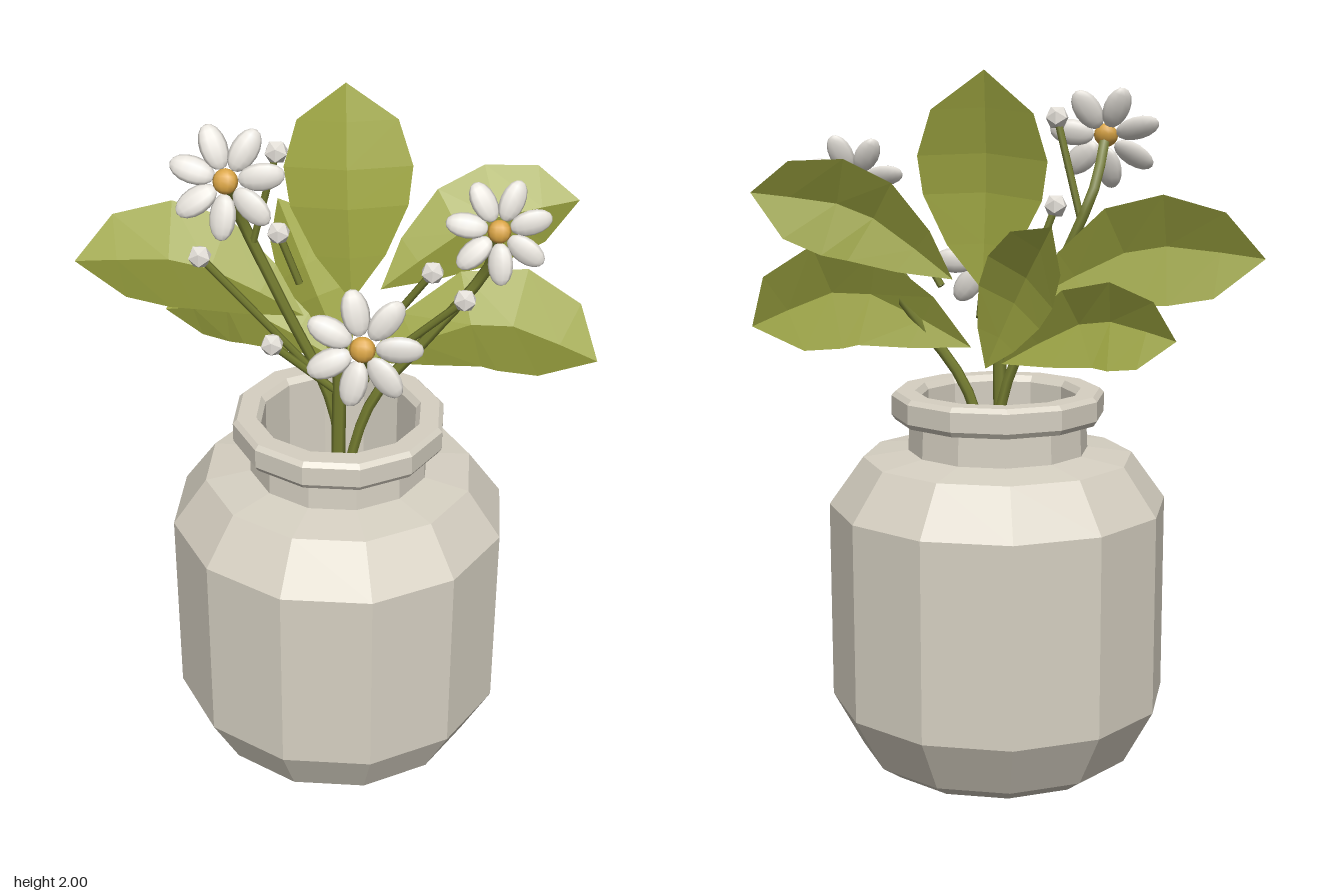
import * as THREE from 'three';

const V = (a) => new THREE.Vector3(...a);
const mat = (name, color, extra = {}) =>
  Object.assign(new THREE.MeshStandardMaterial({ color, ...extra }), { name });

export function createModel() {
  const model = new THREE.Group();
  const stone = mat('stone', 0xd6d0c2, { flatShading: true });
  const water = mat('water', 0xaad2c6);
  const leafGreen = mat('leaf green', 0xa0a842, { flatShading: true, side: THREE.DoubleSide });
  const stemGreen = mat('stem green', 0x757d30);
  const white = mat('petal white', 0xe2ded7);
  const yellow = mat('pollen yellow', 0xd9a444);

  const add = (parent, name, geo, material) => {
    const m = new THREE.Mesh(geo, material);
    m.name = name;
    parent.add(m);
    return m;
  };

  // Twelve-sided jar: outer wall, rim, then the inside of the neck (flat radius, height)
  const k = 1 / Math.cos(Math.PI / 12);
  const profile = [
    [0, 0], [0.33, 0], [0.386, 0.04], [0.47, 0.2], [0.47, 0.775], [0.375, 0.912],
    [0.25, 0.93], [0.246, 1.02], [0.285, 1.02], [0.295, 1.035], [0.295, 1.09], [0.283, 1.103],
    [0.23, 1.103], [0.217, 1.085], [0.217, 0.75],
  ].map(([r, y]) => new THREE.Vector2(r * k, y));
  const jar = add(model, 'jar', new THREE.LatheGeometry(profile, 12, Math.PI / 12), stone);
  jar.position.set(0.013, 0, -0.004);

  // Water surface inside the neck
  const pool = add(model, 'water', new THREE.CircleGeometry(0.217 * k, 12, Math.PI / 12), water);
  pool.rotation.x = -Math.PI / 2;
  pool.position.set(0.013, 0.8, -0.004);

  // Stems and bud branches
  const stem = (name, pts, r) => {
    const curve = new THREE.CatmullRomCurve3(pts.map(V));
    add(model, name, new THREE.TubeGeometry(curve, pts.length * 3, r, 6), stemGreen);
    // End caps
    [0, 1].forEach((t) => {
      const cap = add(model, name + 'End', new THREE.CircleGeometry(r, 6), stemGreen);
      cap.position.copy(curve.getPoint(t));
      cap.lookAt(curve.getPoint(t).addScaledVector(curve.getTangent(t), t ? 1 : -1));
    });
  };
  stem('leftStem', [[0.03, 0.76, -0.03], [-0.01, 1.1, -0.035], [-0.15, 1.42, -0.045],
    [-0.262, 1.68, -0.04], [-0.278, 1.8, 0.045]], 0.016);
  stem('rightStem', [[0.01, 0.76, -0.03], [0.1, 1.11, -0.035], [0.26, 1.33, -0.04],
    [0.41, 1.54, -0.035], [0.435, 1.67, 0.03]], 0.016);
  stem('centreStem', [[0.01, 0.76, 0.025], [0.015, 1.1, 0.035], [0.02, 1.39, 0.037]], 0.02);
  stem('frontStem', [[0.093, 1.285, 0.145], [0.093, 1.36, 0.19], [0.093, 1.43, 0.25]], 0.013);

  // Buds, each with the foot of its branch
  [
    [[-0.155, 1.87, -0.02], [-0.225, 1.6, -0.045]],
    [[-0.155, 1.63, -0.038], [-0.1, 1.48, -0.04]],
    [[-0.36, 1.59, 0.043], [-0.045, 1.2, -0.02]],
    [[-0.165, 1.35, 0.08], [0.0, 1.19, 0.03]],
    [[0.265, 1.545, 0.0], [0.17, 1.4, -0.035]],
    [[0.355, 1.485, 0.04], [0.16, 1.28, -0.03]],
  ].forEach(([tip, foot]) => {
    const mid = V(tip).lerp(V(foot), 0.5).toArray();
    stem('budBranch', [foot, mid, tip], 0.011);
    const bud = add(model, 'bud', new THREE.IcosahedronGeometry(0.034, 0), white);
    bud.position.copy(V(tip));
  });

  // Daisies: seven flattened petals around a small dome
  const petalGeo = new THREE.SphereGeometry(1, 10, 8).rotateZ(-Math.PI / 2);
  petalGeo.scale(0.062, 0.037, 0.018);
  const flower = (name, pos, size, tilt, turn, spin) => {
    const f = new THREE.Group();
    f.name = name;
    for (let i = 0; i < 7; i++) {
      const arm = new THREE.Group();
      arm.name = 'petalArm';
      arm.rotation.z = spin + (i * Math.PI * 2) / 7;
      const petal = add(arm, 'petal', petalGeo, white);
      petal.position.x = 0.094;
      petal.rotation.x = 0.2;
      f.add(arm);
    }
    const eye = add(f, 'flowerCentre', new THREE.SphereGeometry(0.034, 10, 8), yellow);
    eye.scale.z = 0.7;
    eye.position.z = 0.012;
    f.position.copy(V(pos));
    f.rotation.set(-tilt, turn, 0);
    f.scale.setScalar(size);
    model.add(f);
  };
  flower('leftFlower', [-0.28, 1.815, 0.055], 1, 0.38, 0, 0.15);
  flower('rightFlower', [0.437, 1.69, 0.038], 0.92, 0.36, 0, 0.3);
  flower('frontFlower', [0.093, 1.44, 0.25], 1.03, 0.27, 0, 0);

  // Leaves: a bent spine with a folded cross-section that swells, then tapers to a point
  const widths = [0, 0.55, 0.92, 1, 0.78, 0];
  const stops = [0, 0.2, 0.42, 0.6, 0.82, 1];
  const leaf = (name, base, mid, tip, half, facing = [0, 0.15, 1], fold = 0.05) => {
    const spine = new THREE.CatmullRomCurve3([base, mid, tip].map(V));
    const pos = [], index = [];
    stops.forEach((t, i) => {
      const p = spine.getPoint(t);
      const side = spine.getTangent(t).cross(V(facing)).normalize();
      const back = V(facing).normalize().multiplyScalar(-fold * widths[i]);
      [-1, 0, 1].forEach((s) => {
        const q = p.clone().addScaledVector(side, s * half * widths[i]);
        if (s) q.add(back);
        pos.push(q.x, q.y, q.z);
      });
      if (i) for (let j = 0; j < 2; j++) {
        const a = (i - 1) * 3 + j, b = a + 3;
        index.push(a, a + 1, b + 1, a, b + 1, b);
      }
    });
    const geo = new THREE.BufferGeometry();
    geo.setAttribute('position', new THREE.Float32BufferAttribute(pos, 3));
    geo.setIndex(index);
    geo.computeVertexNormals();
    add(model, name, geo, leafGreen);
  };
  leaf('centreLeaf', [0.04, 1.4, -0.1], [0.025, 1.72, -0.12], [0.015, 2, -0.2], 0.178, [0, 0.2, 1], 0.06);
  leaf('upperLeftLeaf', [-0.09, 1.37, -0.06], [-0.4, 1.52, -0.06], [-0.735, 1.5, -0.09], 0.155);
  leaf('lowerLeftLeaf', [-0.02, 1.2, -0.14], [-0.28, 1.33, -0.165], [-0.51, 1.29, -0.225], 0.125);
  leaf('upperRightLeaf', [0.12, 1.43, -0.12], [0.38, 1.62, -0.155], [0.66, 1.67, -0.23], 0.14);
  leaf('lowerRightLeaf', [0.08, 1.23, -0.06], [0.43, 1.38, -0.035], [0.73, 1.27, -0.04], 0.155);
  leaf('backLeaf', [0.03, 1.18, -0.11], [-0.08, 1.41, -0.19], [-0.19, 1.6, -0.34], 0.115, [-0.4, 0.27, 0.88], 0.03);

  return model;
}
